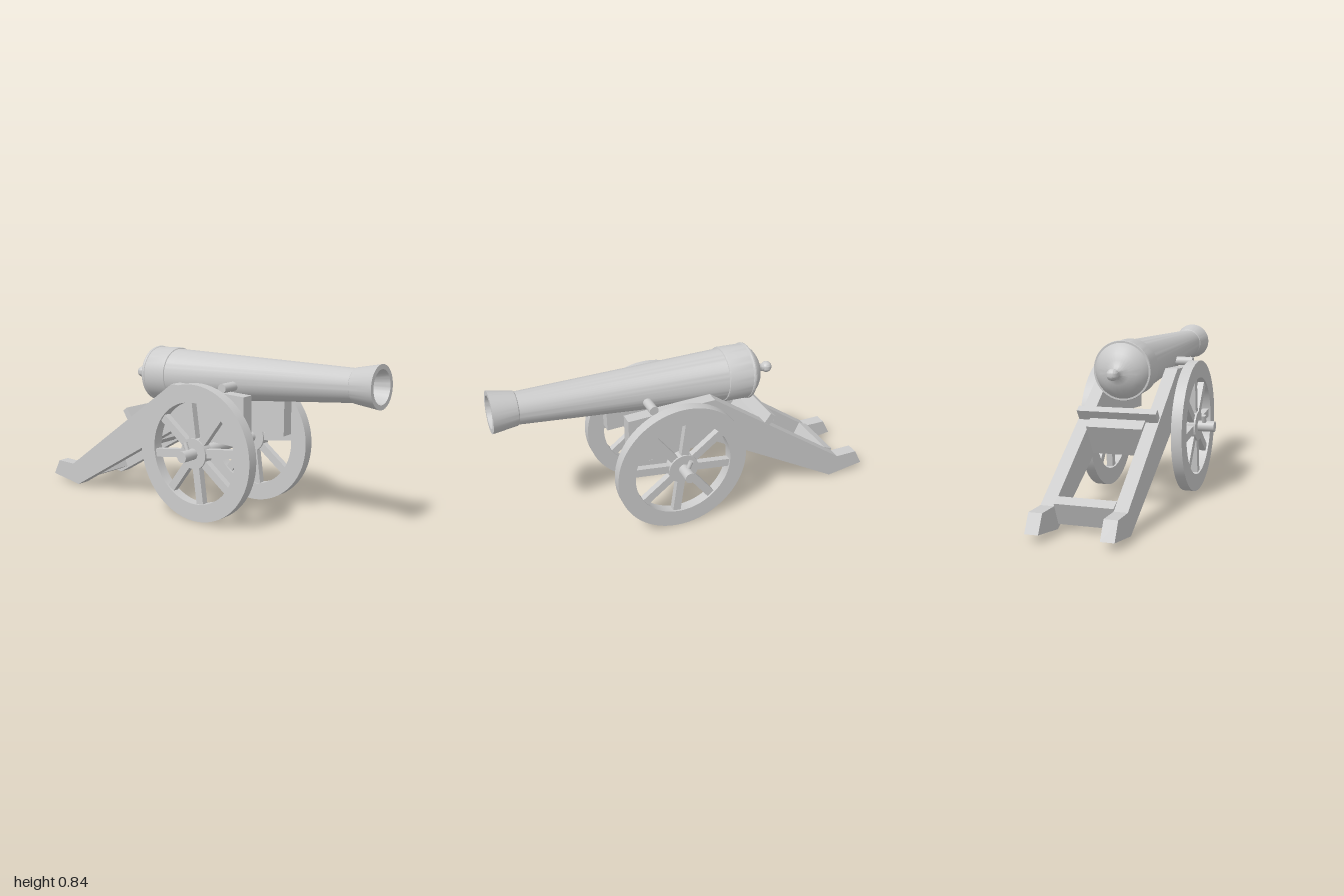
import * as THREE from 'three';
import { toCreasedNormals } from 'three/addons/utils/BufferGeometryUtils.js';

const grey = new THREE.MeshStandardMaterial({ color: 0xcccccc });

function add(parent, name, geometry, x = 0, y = 0, z = 0) {
  const mesh = new THREE.Mesh(geometry, grey);
  mesh.name = name;
  mesh.position.set(x, y, z);
  parent.add(mesh);
  return mesh;
}

// Cylinder lying along x
function rodX(radius, length, segments = 32) {
  return new THREE.CylinderGeometry(radius, radius, length, segments).rotateZ(Math.PI / 2);
}

// Flat ring lying across x
function ringX(outer, inner, width) {
  const shape = new THREE.Shape().absarc(0, 0, outer, 0, Math.PI * 2);
  shape.holes.push(new THREE.Path().absarc(0, 0, inner, 0, Math.PI * 2, true));
  const geo = new THREE.ExtrudeGeometry(shape, { depth: width, bevelEnabled: false, curveSegments: 64 });
  geo.translate(0, 0, -width / 2).rotateY(Math.PI / 2);
  return toCreasedNormals(geo, 0.6);
}

// Tapered barrel with breech knob outside and a flared, hollow bore inside
function buildBarrel() {
  const knob = [];
  for (let i = 0; i <= 8; i++) {
    const a = (i / 8) * 2.35;
    knob.push([0.029 * Math.sin(a), -0.463 - 0.029 * Math.cos(a)]);
  }
  const profile = [
    ...knob,
    [0.019, -0.43], [0.023, -0.418], [0.034, -0.407], [0.06, -0.398],
    [0.09, -0.383], [0.113, -0.365], [0.13, -0.345], [0.136, -0.334],
    [0.145, -0.334], [0.147, -0.327], [0.145, -0.32], [0.142, -0.318],
    [0.142, -0.195], [0.139, -0.188], [0.134, -0.186],
    [0.079, 0.868], [0.083, 0.872], [0.103, 0.995],
    [0.08, 0.995], [0.055, 0.87], [0.055, 0.3], [0, 0.27]
  ].map(([r, y]) => new THREE.Vector2(Math.max(r, 0), y));
  const geo = toCreasedNormals(new THREE.LatheGeometry(profile, 64), 0.5);
  return geo.rotateX(Math.PI / 2 - 0.049);
}

// Side cheek: outline in (z, y), thickness along x
function buildCheek(width) {
  const outline = [
    [0.385, 0.652], [-0.07, 0.667], [-0.835, 0.12], [-0.955, 0.12],
    [-1, 0.035], [-0.795, 0.005], [-0.08, 0.42], [0.385, 0.4]
  ].map(([z, y]) => new THREE.Vector2(-z, y));
  return new THREE.ExtrudeGeometry(new THREE.Shape(outline), { depth: width, bevelEnabled: false })
    .translate(0, 0, -width / 2)
    .rotateY(Math.PI / 2);
}

// Spoked wheel centred on its own hub
function buildWheel() {
  const wheel = new THREE.Group();
  wheel.name = 'wheel';
  add(wheel, 'rim', ringX(0.346, 0.257, 0.055));
  add(wheel, 'hub', ringX(0.078, 0.027, 0.052));
  for (let i = 0; i < 8; i++) {
    const spoke = new THREE.BoxGeometry(0.034, 0.205, 0.042).translate(0, 0.167, 0);
    // Angle measured from straight up towards the rear
    add(wheel, 'spoke', spoke).rotation.x = -(98 - i * 45) * Math.PI / 180;
  }
  return wheel;
}

export function createModel() {
  const model = new THREE.Group();
  model.name = 'fieldCannon';
  const axleY = 0.347, axleZ = 0.125;

  add(model, 'barrel', buildBarrel(), 0, 0.691, 0);
  add(model, 'axle', rodX(0.028, 0.71), 0, axleY, axleZ);

  for (const side of [-1, 1]) {
    // Trunnion stubs end inside the barrel wall
    add(model, 'trunnion', rodX(0.023, 0.115), side * 0.1425, 0.678, 0.25);
    add(model, 'cheek', buildCheek(0.065), side * 0.1725, 0, 0);

    const wheel = buildWheel();
    wheel.position.set(side * 0.2425, axleY, axleZ);
    model.add(wheel);

    // Linch pin holding the wheel on
    const pin = new THREE.CylinderGeometry(0.012, 0.012, 0.06, 16).translate(0, 0.036, 0);
    add(model, 'linchPin', pin, side * 0.3, axleY, axleZ).rotation.x = -0.4;
  }

  // Cross members between the cheeks: [name, width, height, depth, y, z, tilt]
  const beams = [
    ['tailBeam', 0.28, 0.115, 0.054, 0.091, -0.789, -0.43],
    ['middleBeam', 0.28, 0.17, 0.09, 0.365, -0.37, -0.55],
    ['elevationBar', 0.4, 0.065, 0.035, 0.468, -0.39, -0.62]
  ];
  for (const [name, w, h, d, y, z, tilt] of beams) {
    add(model, name, new THREE.BoxGeometry(w, h, d), 0, y, z).rotation.x = tilt;
  }
  return model;
}
